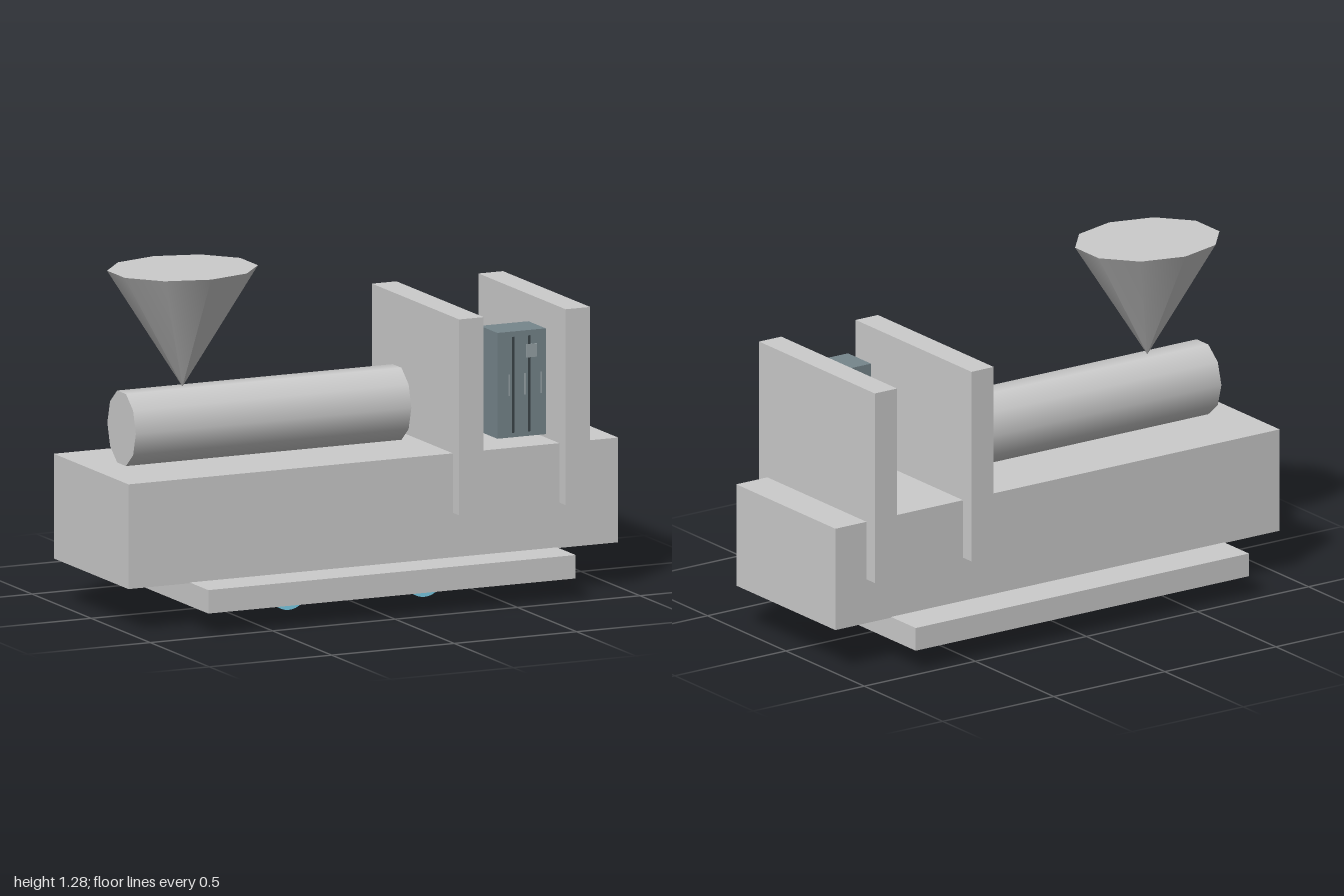
import * as THREE from 'three';

export function createModel() {
  const model = new THREE.Group();
  const mat = (color) => new THREE.MeshStandardMaterial({ color });
  const grey = mat(0xcccccc), blue = mat(0x7cd0ea), slate = mat(0x76868c);
  const dark = mat(0x3a4448), pale = mat(0x98a4a8);

  const add = (name, geometry, material) => {
    const mesh = new THREE.Mesh(geometry, material);
    mesh.name = name;
    model.add(mesh);
    return mesh;
  };
  // Box given by its limits on each axis
  const box = (name, [x0, x1], [y0, y1], [z0, z1], material = grey) =>
    add(name, new THREE.BoxGeometry(x1 - x0, y1 - y0, z1 - z0), material)
      .position.set((x0 + x1) / 2, (y0 + y1) / 2, (z0 + z1) / 2);

  // Machine bed and wide foot plate
  box('bed', [-1, 1], [0.17, 0.563], [-0.316, 0.316]);
  box('footPlate', [-0.75, 0.75], [0.085, 0.173], [-0.474, 0.474]);

  // Two clamping platens straddling the bed
  for (const x of [0.375, 0.81]) {
    box('platen', [x - 0.05, x + 0.05], [0.34, 1.075], [-0.369, 0.369]);
  }

  // Ten-sided barrel, slightly narrowed in depth
  const barrel = new THREE.CylinderGeometry(0.142, 0.142, 1.125, 10);
  barrel.rotateZ(Math.PI / 2).scale(1, 1, 0.85);
  add('barrel', barrel, grey).position.set(-0.313, 0.705, 0);

  // Feed hopper: an inverted ten-sided cone standing on its tip
  const hopper = new THREE.CylinderGeometry(0.286, 0, 0.445, 10);
  hopper.scale(1, 1, 0.85);
  add('hopper', hopper, grey).position.set(-0.627, 1.0625, 0);

  // Control cabinet with door seams, handles and a small display
  const front = 0.277;
  box('cabinet', [0.525, 0.723], [0.593, 0.99], [0.13, front], slate);
  for (const x of [0.59, 0.655]) {
    box('doorSeam', [x - 0.004, x + 0.004], [0.61, 0.97], [front - 0.01, front + 0.002], dark);
  }
  for (const x of [0.573, 0.637, 0.704]) {
    box('doorHandle', [x - 0.003, x + 0.003], [0.75, 0.83], [front - 0.01, front + 0.003], pale);
  }
  box('display', [0.643, 0.686], [0.888, 0.938], [front - 0.01, front + 0.004], pale);

  // Half-round runners joined by a thin web under the foot plate
  for (const x of [-0.277, 0.277]) {
    const runner = new THREE.CylinderGeometry(0.08, 0.08, 0.35, 32);
    runner.rotateX(Math.PI / 2);
    add('runner', runner, blue).position.set(x, 0.083, 0);
  }
  box('runnerWeb', [-0.22, 0.22], [0.064, 0.09], [-0.172, 0.172], blue);

  return model;
}
